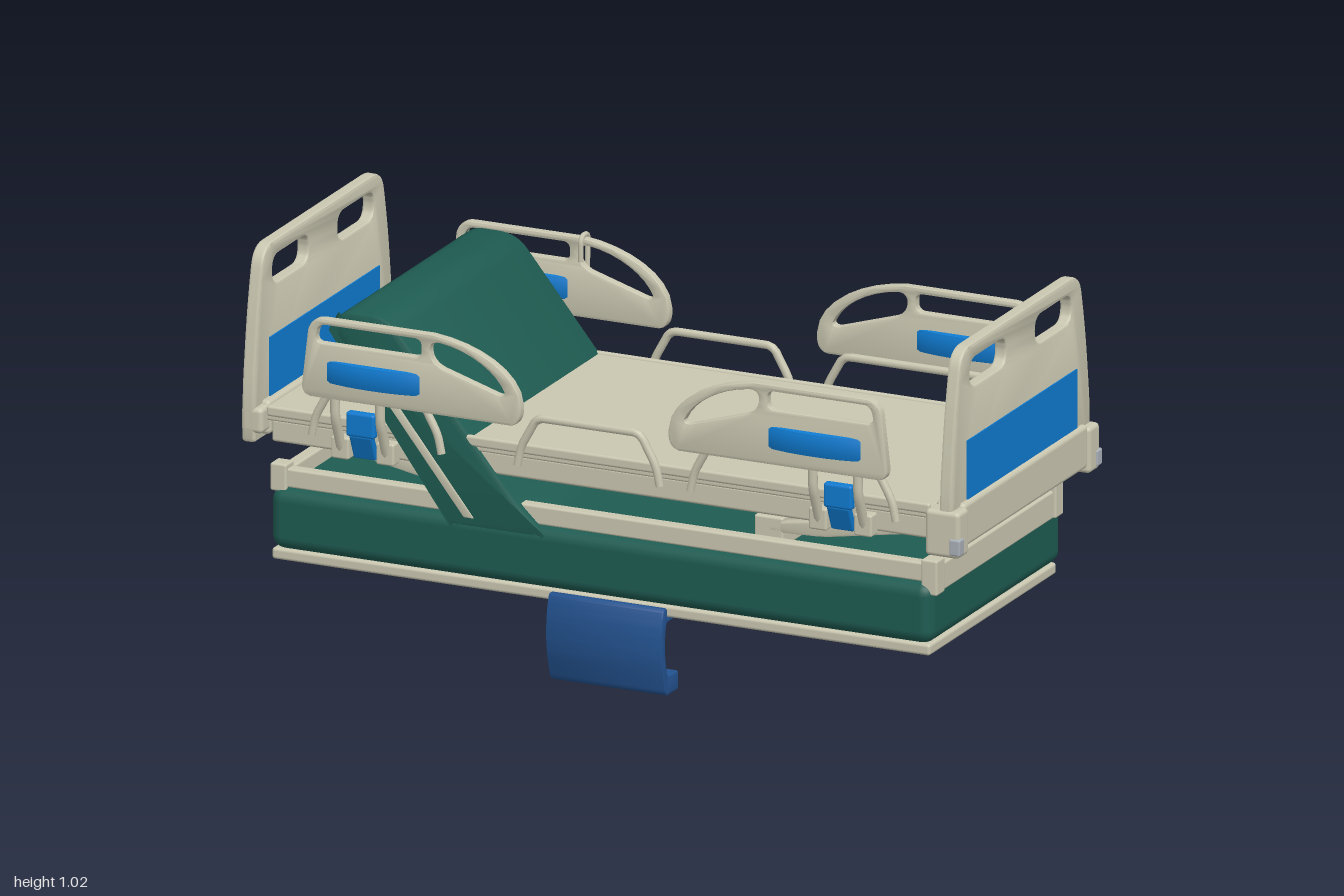
import * as THREE from 'three';
import { toCreasedNormals } from 'three/addons/utils/BufferGeometryUtils.js';
import { RoundedBoxGeometry } from 'three/addons/geometries/RoundedBoxGeometry.js';

const mat = (name, color) => {
  const m = new THREE.MeshStandardMaterial({ color });
  m.name = name;
  return m;
};

export function createModel() {
  const cream = mat('cream', 0xc9c6b0), green = mat('green', 0x1e5b51), blue = mat('blue', 0x0f7acf);
  const navy = mat('navy', 0x23528f), grey = mat('grey', 0xa9afb8);
  const bed = new THREE.Group();
  bed.name = 'hospitalBed';

  const add = (name, geo, material, x = 0, y = 0, z = 0, parent = bed) => {
    const m = new THREE.Mesh(geo, material);
    m.name = name;
    m.position.set(x, y, z);
    parent.add(m);
    return m;
  };
  // Box given by its limits, optionally rounded
  const box = (name, material, [x0, x1], [y0, y1], [z0, z1], r = 0) => {
    const s = [x1 - x0, y1 - y0, z1 - z0];
    const geo = r ? new RoundedBoxGeometry(...s, 3, r) : new THREE.BoxGeometry(...s);
    return add(name, geo, material, (x0 + x1) / 2, (y0 + y1) / 2, (z0 + z1) / 2);
  };
  // Extrusion centred on its depth, with the bevel kept inside the outline
  const slab = (shape, depth, bevel, turn = 0) => {
    const geo = new THREE.ExtrudeGeometry(shape, {
      depth: depth - 2 * bevel, bevelEnabled: bevel > 0, bevelSize: bevel, bevelThickness: bevel,
      bevelOffset: -bevel, bevelSegments: 2, curveSegments: 8,
    });
    geo.translate(0, 0, bevel - depth / 2);
    return toCreasedNormals(geo.rotateY(turn), 0.6);
  };
  // Polygon with rounded corners; points are [x, y, radius]
  const rounded = (pts, target = new THREE.Shape()) => {
    pts.forEach(([x, y, r], i) => {
      const p = new THREE.Vector2(x, y);
      const toward = (q) => new THREE.Vector2(q[0], q[1]).sub(p).setLength(r).add(p);
      const a = toward(pts[(i + pts.length - 1) % pts.length]), b = toward(pts[(i + 1) % pts.length]);
      if (i) target.lineTo(a.x, a.y); else target.moveTo(a.x, a.y);
      target.quadraticCurveTo(x, y, b.x, b.y);
    });
    target.closePath();
    return target;
  };
  // Tube along straight runs with small bends
  const tube = (name, pts, r) => {
    const path = new THREE.CurvePath(), v = pts.map((p) => new THREE.Vector3(...p));
    let from = v[0];
    for (let i = 1; i < v.length - 1; i++) {
      const a = v[i - 1].clone().sub(v[i]).setLength(0.02).add(v[i]);
      const b = v[i + 1].clone().sub(v[i]).setLength(0.02).add(v[i]);
      path.add(new THREE.LineCurve3(from, a));
      path.add(new THREE.QuadraticBezierCurve3(a, v[i], b));
      from = b;
    }
    path.add(new THREE.LineCurve3(from, v[v.length - 1]));
    return add(name, new THREE.TubeGeometry(path, 40, r, 8), cream);
  };
  const SIDES = [1, -1];
  const span = (s, a, b) => (s > 0 ? [a, b] : [-b, -a]);

  // Base plate, pads and mattress
  box('basePlate', cream, [-0.93, 0.895], [0.21, 0.24], [-0.37, 0.37], 0.008);
  for (const x of [-0.75, 0.745]) for (const s of SIDES)
    add('basePad', new THREE.CylinderGeometry(0.025, 0.025, 0.008, 16), cream, x, 0.207, s * 0.29);
  box('mattress', green, [-0.932, 0.905], [0.24, 0.402], [-0.385, 0.385], 0.035);

  // Raised backrest and the frame strips beneath it
  const back = rounded([[-0.44, 0.37, 0.01], [-0.16, 0.37, 0.01], [-0.25, 0.455, 0.04], [-0.605, 0.895, 0.05],
    [-0.735, 0.895, 0.04], [-0.765, 0.84, 0.04], [-0.40, 0.40, 0.01]]);
  add('backrest', slab(back, 0.77, 0.015), green);
  const strip = rounded([[-0.39, 0.40, 0.005], [-0.36, 0.40, 0.005], [-0.58, 0.68, 0.005], [-0.61, 0.68, 0.005]]);
  for (const s of SIDES) add('backrestStrip', slab(strip, 0.02, 0.004), cream, 0, 0, s * 0.378);

  // Lower frame
  for (const s of SIDES) {
    box('lowerSideRail', cream, [-0.9, 0.89], [0.4, 0.45], span(s, 0.325, 0.36), 0.006);
    box('lowerFrameCorner', cream, [0.87, 0.915], [0.37, 0.463], span(s, 0.322, 0.37), 0.006);
    box('lowerFrameCorner', cream, [-0.935, -0.89], [0.39, 0.463], span(s, 0.322, 0.37), 0.006);
  }
  box('lowerEndBar', cream, [0.875, 0.908], [0.37, 0.443], [-0.33, 0.33], 0.006);
  box('lowerEndBar', cream, [-0.93, -0.895], [0.39, 0.443], [-0.33, 0.33], 0.006);

  // Lifting arms between the frames
  for (const s of SIDES) for (const e of SIDES) {
    const arm = rounded([[0.4, 0.44, 0.01], [0.55, 0.445, 0.03], [0.86, 0.5, 0.01], [0.86, 0.53, 0.01],
      [0.7, 0.51, 0.03], [0.4, 0.465, 0.01]]);
    add('liftArm', slab(arm, 0.03, 0.004, e > 0 ? 0 : Math.PI), cream, 0, 0, s * 0.255);
    box('liftFoot', cream, span(e, 0.36, 0.44), [0.40, 0.48], span(s, 0.11, 0.27), 0.006);
  }

  // Deck, beams, rails and side hoops
  box('deck', cream, [-0.945, 0.905], [0.575, 0.61], [-0.375, 0.375], 0.006);
  for (const x of [-0.91, -0.45, 0, 0.45, 0.87]) box('deckCrossBeam', cream, [x - 0.02, x + 0.02], [0.52, 0.58], [-0.34, 0.34]);
  for (const s of SIDES) {
    box('deckSideBeam', cream, [-0.93, 0.905], [0.52, 0.58], span(s, 0.335, 0.372), 0.008);
    box('deckSideRail', cream, [-0.94, 0.9], [0.588, 0.616], span(s, 0.365, 0.382), 0.007);
    for (const [a, b] of [[-0.81, -0.45], [-0.24, 0.155], [0.24, 0.81]]) {
      const z = s * 0.388;
      tube('sideHoop', [[a, 0.56, z], [a + 0.01, 0.61, z], [a + 0.055, 0.692, z], [b - 0.055, 0.692, z],
        [b - 0.01, 0.61, z], [b, 0.56, z]], 0.011);
    }
  }

  // Head and foot boards with handle slots and panels on both faces
  const board = rounded([[-0.405, 0.52, 0.01], [0.405, 0.52, 0.01], [0.405, 0.66, 0.05], [0.38, 0.86, 0.08],
    [0.345, 1.02, 0.055], [-0.345, 1.02, 0.055], [-0.38, 0.86, 0.08], [-0.405, 0.66, 0.05]]);
  for (const s of SIDES) {
    const [a, b] = span(s, 0.085, 0.295);
    board.holes.push(rounded([[a, 0.905, 0.037], [a, 0.98, 0.037], [b, 0.98, 0.037], [b, 0.905, 0.037]], new THREE.Path()));
  }
  const boardGeo = slab(board, 0.036, 0.008, Math.PI / 2);
  for (const [name, x] of [['headboard', -0.979], ['footboard', 0.955]]) {
    add(name, boardGeo, cream, x);
    for (const e of SIDES) {
      const px = x + e * 0.0185;
      box(name + 'Panel', blue, [px - 0.003, px + 0.003], [0.617, 0.775], [-0.32, 0.32]);
    }
  }

  // End bumpers
  box('footBumper', cream, [0.905, 0.988], [0.505, 0.62], [-0.36, 0.36], 0.012);
  box('headBumper', cream, [-0.998, -0.94], [0.53, 0.62], [-0.36, 0.36], 0.012);
  for (const s of SIDES) {
    box('footBumperCorner', cream, [0.9, 0.996], [0.49, 0.612], span(s, 0.35, 0.412), 0.012);
    box('headBumperCorner', cream, [-1, -0.94], [0.545, 0.612], span(s, 0.35, 0.405), 0.012);
    box('bumperSocket', grey, [0.97, 1], [0.5, 0.543], span(s, 0.387, 0.417), 0.005);
  }

  // Side guards: outline with two openings
  const guard = new THREE.Shape();
  guard.moveTo(0.235, 0.68);
  guard.lineTo(0.78, 0.68);
  guard.quadraticCurveTo(0.812, 0.68, 0.812, 0.71);
  guard.lineTo(0.795, 0.855);
  guard.quadraticCurveTo(0.785, 0.89, 0.75, 0.89);
  guard.lineTo(0.45, 0.89);
  guard.bezierCurveTo(0.33, 0.88, 0.21, 0.82, 0.205, 0.735);
  guard.quadraticCurveTo(0.2, 0.685, 0.235, 0.68);
  const opening = new THREE.Path();
  opening.moveTo(0.25, 0.765);
  opening.bezierCurveTo(0.27, 0.81, 0.34, 0.86, 0.43, 0.87);
  opening.quadraticCurveTo(0.46, 0.87, 0.455, 0.84);
  opening.quadraticCurveTo(0.45, 0.81, 0.41, 0.8);
  opening.lineTo(0.28, 0.76);
  opening.quadraticCurveTo(0.25, 0.75, 0.25, 0.765);
  guard.holes.push(opening, rounded([[0.48, 0.825, 0.02], [0.48, 0.873, 0.02], [0.765, 0.873, 0.02],
    [0.775, 0.825, 0.02]], new THREE.Path()));

  // Lens-shaped grip, seen from above, extruded upward
  const lens = new THREE.Shape();
  lens.moveTo(-0.135, -0.012);
  lens.bezierCurveTo(-0.07, -0.036, 0.07, -0.036, 0.135, -0.012);
  lens.lineTo(0.135, 0.012);
  lens.bezierCurveTo(0.07, 0.036, -0.07, 0.036, -0.135, 0.012);
  lens.closePath();

  for (const s of SIDES) for (const e of SIDES) {
    const z = s * 0.432;
    add('sideGuard', slab(guard, 0.028, 0.006, e > 0 ? 0 : Math.PI), cream, 0, 0, z);
    add('guardGrip', slab(lens, 0.062, 0.008).rotateX(Math.PI / 2), blue, e * 0.612, 0.752, z);
    for (const x of [0.6, 0.725]) {
      tube('guardStrut', [[e * x, 0.7, z], [e * x, 0.63, s * 0.43], [e * x, 0.53, s * 0.39]], 0.013);
      box('guardFoot', cream, span(e, x - 0.025, x + 0.025), [0.512, 0.57], span(s, 0.365, 0.405), 0.006);
    }
    // Bent latch: upright half and a half tucked inward
    box('guardLatch', blue, span(e, 0.622, 0.702), [0.58, 0.645], span(s, 0.395, 0.42), 0.008);
    const tuck = box('guardLatchFoot', blue, span(e, 0.63, 0.694), [0.515, 0.59], span(s, 0.385, 0.405), 0.006);
    tuck.rotation.x = s * 0.4;
  }

  // Small clip hooked over one guard
  tube('guardClip', [[-0.445, 0.83, -0.412], [-0.445, 0.895, -0.412], [-0.445, 0.895, -0.455], [-0.445, 0.79, -0.45]], 0.007);

  // Curved foot guards with straps under the base plate
  const hook = rounded([[0.3, 0.195, 0.004], [0.37, 0.195, 0.01], [0.381, 0.13, 0.04], [0.365, 0.052, 0.015],
    [0.302, 0.052, 0.006], [0.302, 0.002, 0.006], [0.378, 0.002, 0.02], [0.405, 0.1, 0.04],
    [0.403, 0.18, 0.03], [0.388, 0.235, 0.012], [0.365, 0.235, 0.01], [0.365, 0.209, 0.004], [0.3, 0.209, 0.004]]);
  for (const s of SIDES) add('footGuard', slab(hook, 0.322, 0.006, -s * Math.PI / 2), navy, 0.006);
  box('footGuardStrap', navy, [-0.15, -0.125], [0.199, 0.211], [-0.31, 0.31]);

  return bed;
}
